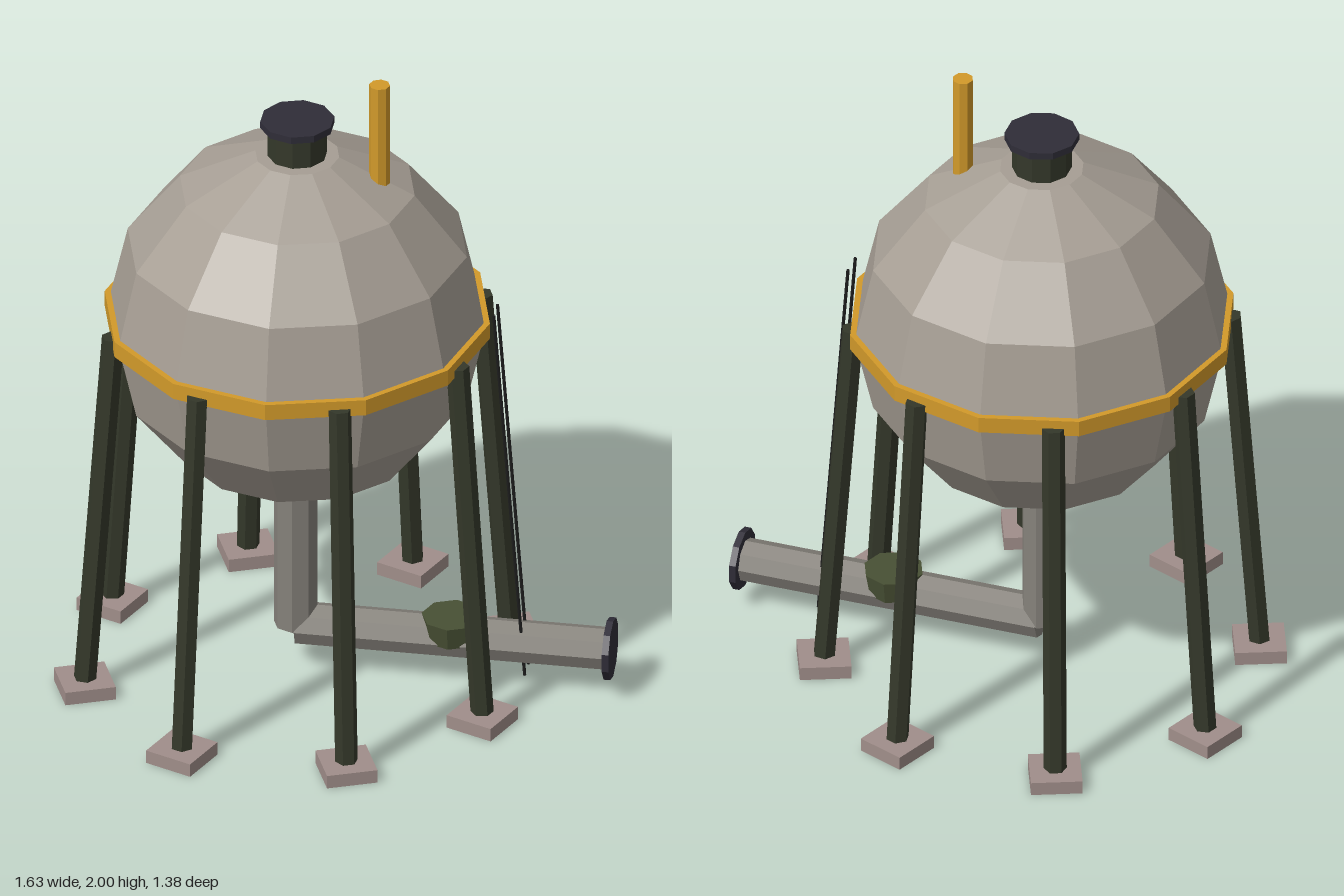
import * as THREE from 'three';

const mat = (color) => new THREE.MeshStandardMaterial({ color, flatShading: true });
const COLORS = {
  tank: mat(0xa69e94), pipe: mat(0x85817a), band: mat(0xd29a2a), steel: mat(0x34382a),
  cap: mat(0x2f2d38), valve: mat(0x485034), foot: mat(0xa08e8a), rod: mat(0x1c1c1c),
};
const CX = -0.13; // vertical axis of the tank
const V = (x, y, z) => new THREE.Vector3(x, y, z);

export function createModel() {
  const model = new THREE.Group();
  model.name = 'sphericalStorageTank';

  const add = (name, geometry, material, parent = model) => {
    const mesh = new THREE.Mesh(geometry, material);
    mesh.name = name;
    parent.add(mesh);
    return mesh;
  };

  // Cylinder running from point a to point b
  const rod = (name, a, b, rA, rB, sides, material, parent, twist = 0) => {
    const dir = b.clone().sub(a);
    const geometry = new THREE.CylinderGeometry(rB, rA, dir.length(), sides);
    geometry.rotateY(twist);
    const mesh = add(name, geometry, material, parent);
    mesh.quaternion.setFromUnitVectors(V(0, 1, 0), dir.normalize());
    mesh.position.copy(a).add(b).multiplyScalar(0.5);
    return mesh;
  };

  // Faceted vessel: sphere profile cut flat at top and bottom
  const R = 0.56, CY = 1.195, profile = [new THREE.Vector2(0, CY - 0.546)];
  for (let i = -3; i <= 3; i++) {
    const a = (i * Math.PI) / 7;
    profile.push(new THREE.Vector2(R * Math.cos(a), CY + R * Math.sin(a)));
  }
  profile.push(new THREE.Vector2(0, CY + 0.546));
  add('vessel', new THREE.LatheGeometry(profile, 12), COLORS.tank).position.x = CX;

  // Equator band
  const band = [[0.545, 1.167], [0.573, 1.167], [0.573, 1.218], [0.545, 1.218], [0.545, 1.167]]
    .map(([x, y]) => new THREE.Vector2(x, y));
  add('equatorBand', new THREE.LatheGeometry(band, 12), COLORS.band).position.x = CX;

  // Top hatch and vent pipe
  rod('hatchNeck', V(CX, 1.7, 0), V(CX, 1.842, 0), 0.088, 0.088, 10, COLORS.steel);
  rod('hatchCover', V(CX, 1.838, 0), V(CX, 1.86, 0), 0.11, 0.11, 10, COLORS.cap);
  rod('ventPipe', V(0.115, 1.58, 0), V(0.115, 2, 0), 0.031, 0.031, 8, COLORS.band);

  // Eight splayed legs on square feet
  for (let i = 0; i < 8; i++) {
    const support = new THREE.Group();
    support.name = `support${i + 1}`;
    support.position.x = CX;
    support.rotation.y = ((i + 0.5) * Math.PI) / 4;
    model.add(support);
    rod('leg', V(0.64, 0.03, 0), V(0.555, 1.19, 0), 0.034, 0.034, 6, COLORS.steel, support);
    add('foot', new THREE.BoxGeometry(0.152, 0.042, 0.152), COLORS.foot, support)
      .position.set(0.64, 0.021, 0);
  }

  // Drain line with end flange and valve
  rod('drainPipe', V(CX - 0.005, 0.145, 0), V(CX - 0.005, 0.68, 0), 0.065, 0.065, 8, COLORS.pipe);
  rod('outletPipe', V(CX, 0.145, 0), V(0.8, 0.145, 0), 0.065, 0.065, 8, COLORS.pipe);
  rod('outletFlange', V(0.79, 0.145, 0), V(0.81, 0.145, 0), 0.093, 0.093, 10, COLORS.cap, model, Math.PI / 2);
  rod('valve', V(0.33, 0.14, 0), V(0.33, 0.213, 0), 0.077, 0.09, 8, COLORS.valve);

  // Pair of slender ladder rails
  for (const z of [-0.033, 0.033]) {
    rod('ladderRail', V(0.552, 0.05, z), V(0.46, 1.265, z), 0.005, 0.005, 6, COLORS.rod);
  }

  return model;
}
